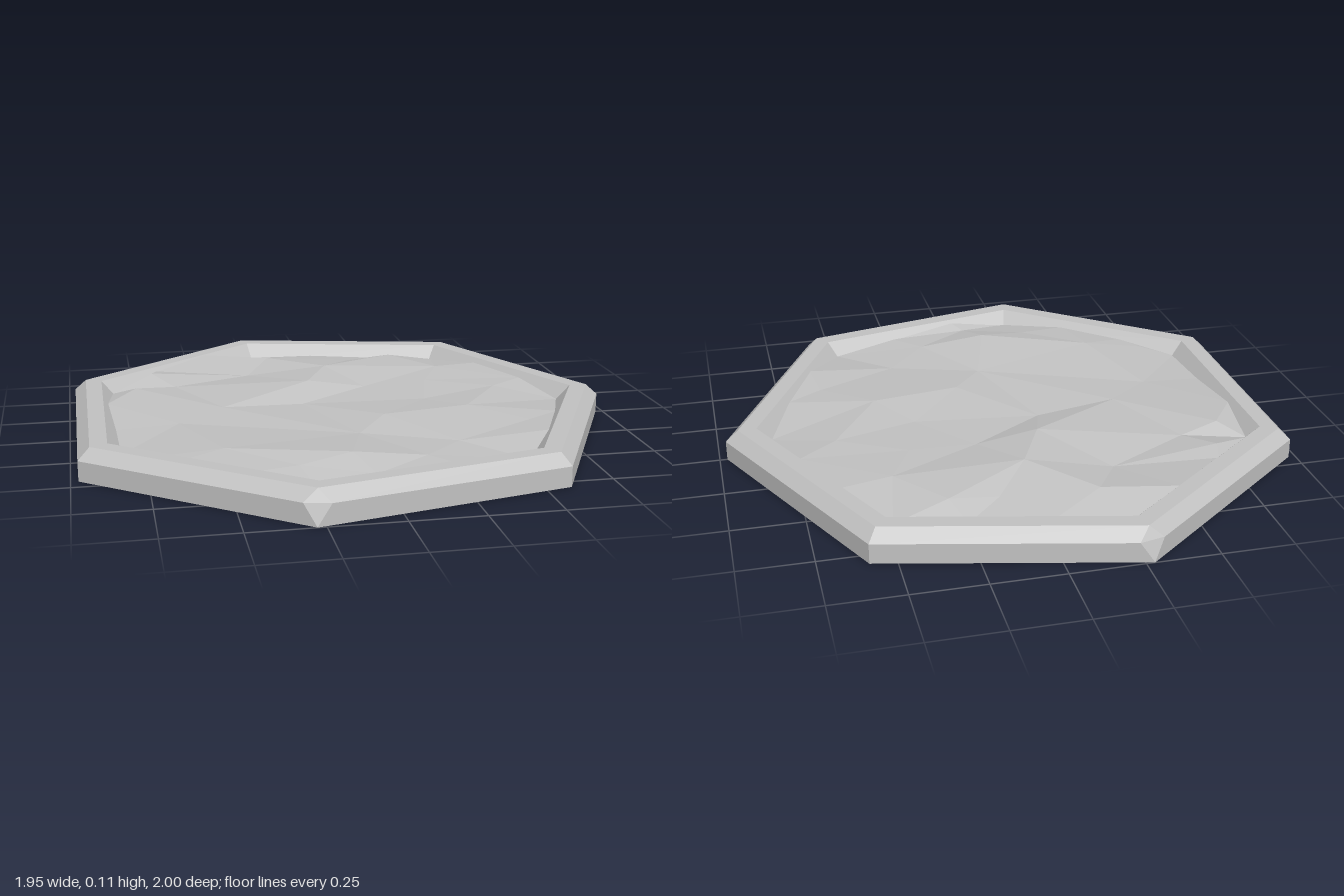
import * as THREE from 'three';
import { ConvexGeometry } from 'three/addons/geometries/ConvexGeometry.js';

const CENTRE_X = -0.051;
const SIDES = 7;

// Corner of a heptagon with circumradius r at height y
function corner(k, r, y) {
  const a = (k * Math.PI * 2) / SIDES;
  return new THREE.Vector3(r * Math.cos(a) + CENTRE_X, y, r * Math.sin(a));
}

// Point on the heptagon outline, t running from 0 to 7
function outline(t, r, y) {
  const k = Math.floor(t);
  return corner(k, r, y).lerp(corner(k + 1, r, y), t - k);
}

// Flat-shaded geometry from a list of triangle corners
function facets(points) {
  const geo = new THREE.BufferGeometry().setFromPoints(points);
  geo.computeVertexNormals();
  return geo;
}

function rimGeometry() {
  const p = [];
  const quad = (a, b, c, d) => p.push(a, d, b, b, d, c);
  const chipped = [2, 5];
  const chip = (k) => (chipped.includes(k % SIDES) ? 0.055 : 0);
  for (let k = 0; k < SIDES; k++) {
    // outer wall and bevel, with two chipped corners
    const b0 = corner(k, 1.025, 0), b1 = corner(k + 1, 1.025, 0);
    const m0 = outline(k + chip(k), 1.025, 0.07);
    const m1 = outline(k + 1 - chip(k + 1), 1.025, 0.07);
    const t0 = corner(k, 0.98, 0.11), t1 = corner(k + 1, 0.98, 0.11);
    quad(b0, b1, m1, m0);
    quad(m0, m1, t1, t0);
    if (chip(k)) {
      const before = outline(k - chip(k), 1.025, 0.07);
      p.push(b0, before, m0, before, t0, m0);
    }
    // flat top and sloping inner wall
    const i0 = corner(k, 0.915, 0.11), i1 = corner(k + 1, 0.915, 0.11);
    quad(t0, t1, i1, i0);
    quad(i0, i1, corner(k + 1, 0.86, 0.055), corner(k, 0.86, 0.055));
  }
  return facets(p);
}

function floorGeometry() {
  const p = [];
  const mid = new THREE.Vector3(CENTRE_X, 0.055, 0);
  for (let k = 0; k < SIDES; k++) p.push(mid, corner(k, 0.86, 0.055), corner(k + 1, 0.86, 0.055));
  return facets(p);
}

// Rock: scattered heights joined into facets by lifting the points to a bowl
// and keeping the underside of its convex hull
function rockGeometry() {
  const inner = [
    [-0.75, 0.1, -0.3], [-0.68, 0.108, -0.48], [-0.2, 0.1, -0.67], [-0.3, 0.075, -0.5],
    [-0.6, 0.085, -0.35], [0, 0.114, -0.45], [-0.1, 0.114, -0.24], [0.13, 0.085, -0.63],
    [0.12, 0.08, -0.24], [0.36, 0.09, -0.25], [0.45, 0.095, -0.43], [0.3, 0.1, -0.63],
    [-0.45, 0.09, -0.02], [-0.15, 0.075, -0.06], [0.3, 0.082, -0.02], [0.6, 0.09, -0.12],
    [-0.62, 0.08, 0.12], [0.1, 0.098, 0.2], [0.42, 0.1, 0.15], [-0.02, 0.083, 0.36],
    [-0.5, 0.1, 0.49], [-0.72, 0.075, 0.46], [0.6, 0.085, 0.32], [0.3, 0.075, 0.48],
    [-0.1, 0.112, 0.64], [-0.28, 0.09, 0.68], [0.15, 0.085, 0.64], [-0.05, 0.08, 0.78],
  ].map((c) => new THREE.Vector3(...c));
  // heights where the rock meets the wall: at the corner and twice along each side
  const edge = [
    [0.058, 0.085, 0.095], [0.06, 0.08, 0.1], [0.06, 0.085, 0.08], [0.06, 0.07, 0.09],
    [0.062, 0.095, 0.108], [0.058, 0.068, 0.063], [0.06, 0.092, 0.088],
  ];
  edge.forEach((ys, k) => ys.forEach((y, i) => {
    inner.push(outline(k + i * 0.34, 0.865 + (y - 0.055), y));
  }));
  const nearest = (v) => inner.reduce((best, q) =>
    Math.hypot(q.x - v.x, q.z - v.z) < Math.hypot(best.x - v.x, best.z - v.z) ? q : best);
  const bowl = inner.map((q) => new THREE.Vector3(q.x, 0.7 * q.x * q.x + 1.3 * q.z * q.z, q.z));
  const pos = new ConvexGeometry(bowl).getAttribute('position');
  const p = [];
  for (let i = 0; i < pos.count; i += 3) {
    const [a, b, c] = [0, 1, 2].map((j) => new THREE.Vector3().fromBufferAttribute(pos, i + j));
    const n = b.clone().sub(a).cross(c.clone().sub(a));
    if (n.y < 0) p.push(nearest(a), nearest(c), nearest(b));
  }
  return facets(p);
}

export function createModel() {
  const stone = new THREE.MeshStandardMaterial({ color: 0xc2c2c2, side: THREE.DoubleSide });
  stone.name = 'stone grey';
  const group = new THREE.Group();
  group.name = 'stoneTile';
  const parts = { rim: rimGeometry(), floorPlate: floorGeometry(), rockSurface: rockGeometry() };
  for (const [name, geo] of Object.entries(parts)) {
    const mesh = new THREE.Mesh(geo, stone);
    mesh.name = name;
    group.add(mesh);
  }
  return group;
}
